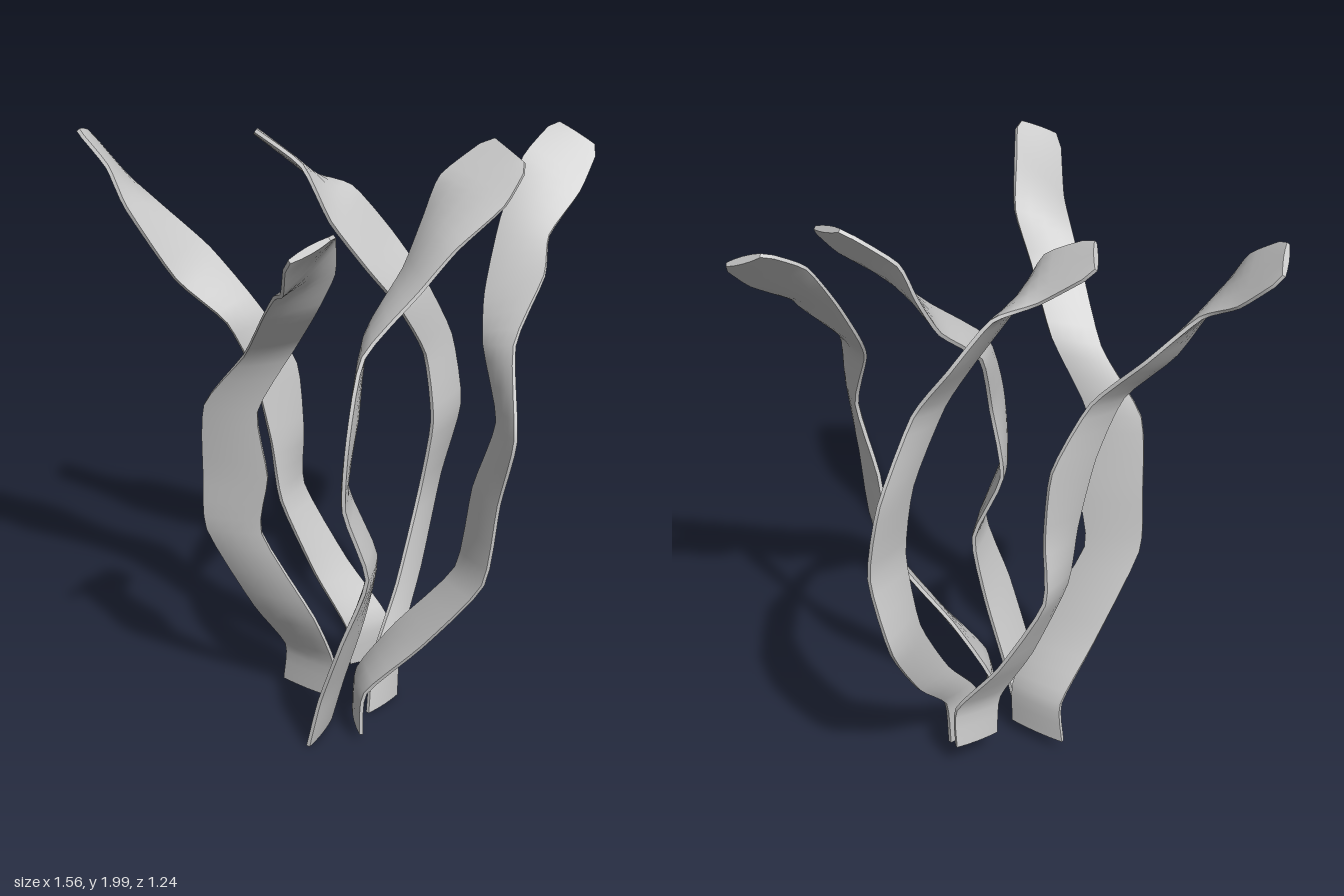
import * as THREE from 'three';
import { toCreasedNormals } from 'three/addons/utils/BufferGeometryUtils.js';

const material = new THREE.MeshStandardMaterial({ color: 0xcccccc });

// Each row holds the two edge points of a blade at one height: x, y, z, x, y, z.
const leaningBlade = [
  [0.10, 0.10, -0.19, 0.20, 0.10, -0.31],
  [0.09, 0.25, -0.18, 0.20, 0.25, -0.30],
  [-0.02, 0.45, -0.17, 0.05, 0.45, -0.30],
  [-0.13, 0.73, -0.14, -0.10, 0.73, -0.28],
  [-0.16, 0.95, -0.13, -0.09, 0.95, -0.25],
  [-0.21, 1.20, -0.11, -0.11, 1.20, -0.24],
  [-0.28, 1.40, -0.05, -0.21, 1.42, -0.165],
  [-0.43, 1.55, 0.00, -0.38, 1.60, -0.17],
  [-0.57, 1.79, 0.045, -0.53, 1.75, -0.12],
  [-0.64, 1.91, 0.02, -0.65, 1.82, -0.15],
  [-0.76, 2.00, -0.03, -0.78, 1.94, -0.17],
];
const backBlade = [
  [0.21, 0.01, -0.05, 0.27, 0.01, -0.19],
  [0.21, 0.20, -0.10, 0.27, 0.20, -0.22],
  [0.24, 0.40, -0.27, 0.28, 0.40, -0.42],
  [0.265, 0.68, -0.44, 0.29, 0.67, -0.61],
  [0.30, 0.95, -0.45, 0.35, 0.95, -0.62],
  [0.27, 1.20, -0.44, 0.315, 1.21, -0.60],
  [0.21, 1.42, -0.31, 0.25, 1.46, -0.47],
  [0.13, 1.56, -0.24, 0.14, 1.62, -0.45],
  [0.02, 1.73, -0.19, 0.025, 1.78, -0.39],
  [-0.07, 1.91, -0.18, -0.10, 1.83, -0.335],
  [-0.23, 2.00, -0.20, -0.27, 1.95, -0.32],
];
const frontBlade = [
  [-0.11, 0.05, -0.11, 0.09, 0.05, -0.05],
  [-0.10, 0.20, -0.10, 0.09, 0.20, -0.04],
  [-0.18, 0.40, 0.00, 0.04, 0.40, 0.02],
  [-0.30, 0.73, 0.11, -0.12, 0.73, 0.08],
  [-0.30, 0.95, 0.13, -0.09, 0.95, 0.10],
  [-0.28, 1.21, 0.16, -0.11, 1.20, 0.135],
  [-0.13, 1.42, 0.20, 0.02, 1.45, 0.15],
  [-0.02, 1.62, 0.33, 0.13, 1.64, 0.27],
  [0.04, 1.72, 0.40, 0.20, 1.79, 0.32],
  [0.10, 1.78, 0.50, 0.225, 1.93, 0.40],
  [0.15, 1.93, 0.62, 0.27, 2.00, 0.54],
];
const twistedBlade = [
  [0.08, 0.01, 0.20, 0.10, 0.01, 0.02],
  [0.12, 0.20, 0.20, 0.15, 0.20, 0.04],
  [0.20, 0.45, 0.22, 0.22, 0.45, 0.05],
  [0.28, 0.70, 0.21, 0.26, 0.70, 0.05],
  [0.21, 0.95, 0.24, 0.16, 0.95, 0.06],
  [0.215, 1.20, 0.22, 0.195, 1.20, 0.06],
  [0.23, 1.43, 0.12, 0.19, 1.44, -0.04],
  [0.36, 1.60, -0.03, 0.26, 1.60, -0.20],
  [0.45, 1.72, -0.12, 0.30, 1.75, -0.28],
  [0.57, 1.84, -0.22, 0.34, 1.88, -0.32],
  [0.62, 1.95, -0.30, 0.48, 2.00, -0.39],
];
const sideBlade = [
  [0.24, 0.04, 0.12, 0.17, 0.04, -0.02],
  [0.25, 0.20, 0.11, 0.18, 0.20, -0.03],
  [0.43, 0.40, 0.08, 0.31, 0.40, -0.04],
  [0.62, 0.66, 0.06, 0.50, 0.64, -0.06],
  [0.66, 0.96, 0.06, 0.55, 0.95, -0.05],
  [0.71, 1.21, 0.09, 0.62, 1.20, -0.04],
  [0.66, 1.46, -0.05, 0.55, 1.42, -0.11],
  [0.705, 1.63, -0.22, 0.52, 1.55, -0.22],
  [0.69, 1.72, -0.33, 0.525, 1.74, -0.36],
  [0.75, 1.82, -0.47, 0.56, 1.91, -0.48],
  [0.78, 1.93, -0.58, 0.63, 2.00, -0.60],
];

// Closed thin strip swept between two edge curves, with a slight midrib and a rounded tip.
function bladeGeometry(rows) {
  const edge = (o) => new THREE.CatmullRomCurve3(
    rows.map((r) => new THREE.Vector3(r[o], r[o + 1], r[o + 2])), false, 'catmullrom', 0.3);
  const left = edge(0), right = edge(3);
  const steps = (rows.length - 1) * 4;
  const across = [1, 0.88, 0.5, 0, -0.5, -0.88, -1];
  const ring = across.length * 2;
  const positions = [], index = [];

  for (let i = 0; i <= steps; i++) {
    const t = i / steps;
    const a = left.getPoint(t), b = right.getPoint(t);
    const centre = a.clone().add(b).multiplyScalar(0.5);
    const half = b.clone().sub(a).multiplyScalar(0.5);
    const tangent = left.getTangent(t).add(right.getTangent(t));
    const normal = tangent.cross(half).normalize();
    half.multiplyScalar(i === steps ? 0.8 : 1);
    for (const side of [1, -1]) {
      for (const u of side > 0 ? across : [...across].reverse()) {
        const thick = 0.006 + 0.006 * (1 - u * u);
        const p = centre.clone().addScaledVector(half, u).addScaledVector(normal, side * thick);
        positions.push(p.x, p.y, p.z);
      }
    }
  }
  for (let i = 0; i < steps; i++) {
    for (let j = 0; j < ring; j++) {
      const a = i * ring + j, b = i * ring + (j + 1) % ring;
      index.push(a, b, b + ring, a, b + ring, a + ring);
    }
  }
  // End caps
  const top = steps * ring;
  for (let j = 1; j < ring - 1; j++) {
    index.push(0, j + 1, j, top, top + j, top + j + 1);
  }
  const geometry = new THREE.BufferGeometry();
  geometry.setAttribute('position', new THREE.Float32BufferAttribute(positions, 3));
  geometry.setIndex(index);
  return toCreasedNormals(geometry, Math.PI / 4);
}

export function createModel() {
  const group = new THREE.Group();
  group.name = 'seaweedCluster';
  const blades = { leaningBlade, backBlade, frontBlade, twistedBlade, sideBlade };
  for (const [name, rows] of Object.entries(blades)) {
    const mesh = new THREE.Mesh(bladeGeometry(rows), material);
    mesh.name = name;
    group.add(mesh);
  }
  return group;
}
